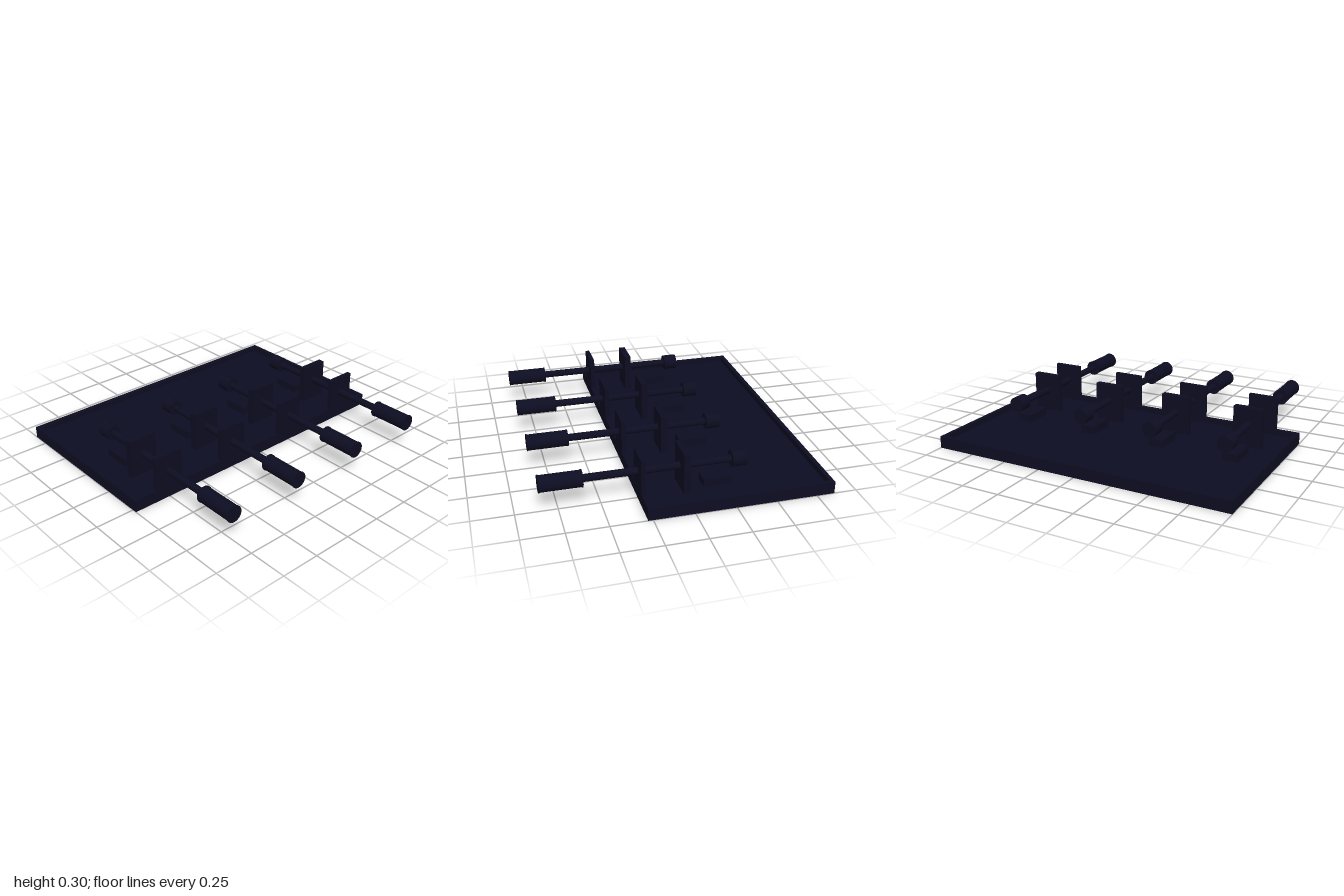
import * as THREE from 'three';

export function createModel() {
  const model = new THREE.Group();
  model.name = 'leverPanel';
  const navy = new THREE.MeshStandardMaterial({ color: 0x0d0d22 });
  navy.name = 'darkNavy';

  // Box given by its limits on each axis
  const box = (parent, name, x0, x1, y0, y1, z0, z1) => {
    const mesh = new THREE.Mesh(new THREE.BoxGeometry(x1 - x0, y1 - y0, z1 - z0), navy);
    mesh.position.set((x0 + x1) / 2, (y0 + y1) / 2, (z0 + z1) / 2);
    mesh.name = name;
    parent.add(mesh);
  };
  // Cylinder lying along z at the rod height
  const rodY = 0.183;
  const bar = (parent, name, r, z0, z1) => {
    const mesh = new THREE.Mesh(new THREE.CylinderGeometry(r, r, z1 - z0, 32), navy);
    mesh.rotation.x = Math.PI / 2;
    mesh.position.set(0, rodY, (z0 + z1) / 2);
    mesh.name = name;
    parent.add(mesh);
  };

  // Shallow tray: floor with a raised rim
  const back = -0.86, front = 0.28, rim = 0.027, floor = 0.04, top = 0.077;
  const tray = new THREE.Group();
  tray.name = 'tray';
  box(tray, 'floor', -1, 1, 0, floor, back, front);
  box(tray, 'frontRim', -1, 1, floor, top, front - rim, front);
  box(tray, 'backRim', -1, 1, floor, top, back, back + rim);
  for (const s of [-1, 1]) {
    const xs = [s, s * (1 - rim)].sort((a, b) => a - b);
    box(tray, s > 0 ? 'leftRim' : 'rightRim', xs[0], xs[1], floor, top, back + rim, front - rim);
  }
  model.add(tray);

  // Four identical plungers, each guided by two upright plates
  for (const x of [-0.75, -0.25, 0.25, 0.75]) {
    const unit = new THREE.Group();
    unit.name = 'plungerUnit';
    unit.position.x = x;
    box(unit, 'frontPlate', -0.096, 0.096, top, 0.296, front - rim, front);
    box(unit, 'innerPlate', -0.096, 0.096, floor, 0.296, -0.016, 0.026);
    box(unit, 'pad', -0.05, 0.05, floor, 0.091, -0.29, -0.11);
    bar(unit, 'rod', 0.023, -0.3, 0.62);
    bar(unit, 'tip', 0.051, -0.38, -0.29);
    bar(unit, 'handle', 0.05, 0.61, 0.855);
    bar(unit, 'handleRim', 0.053, 0.604, 0.611);
    bar(unit, 'handleEnd', 0.053, 0.853, 0.86);
    model.add(unit);
  }
  return model;
}
